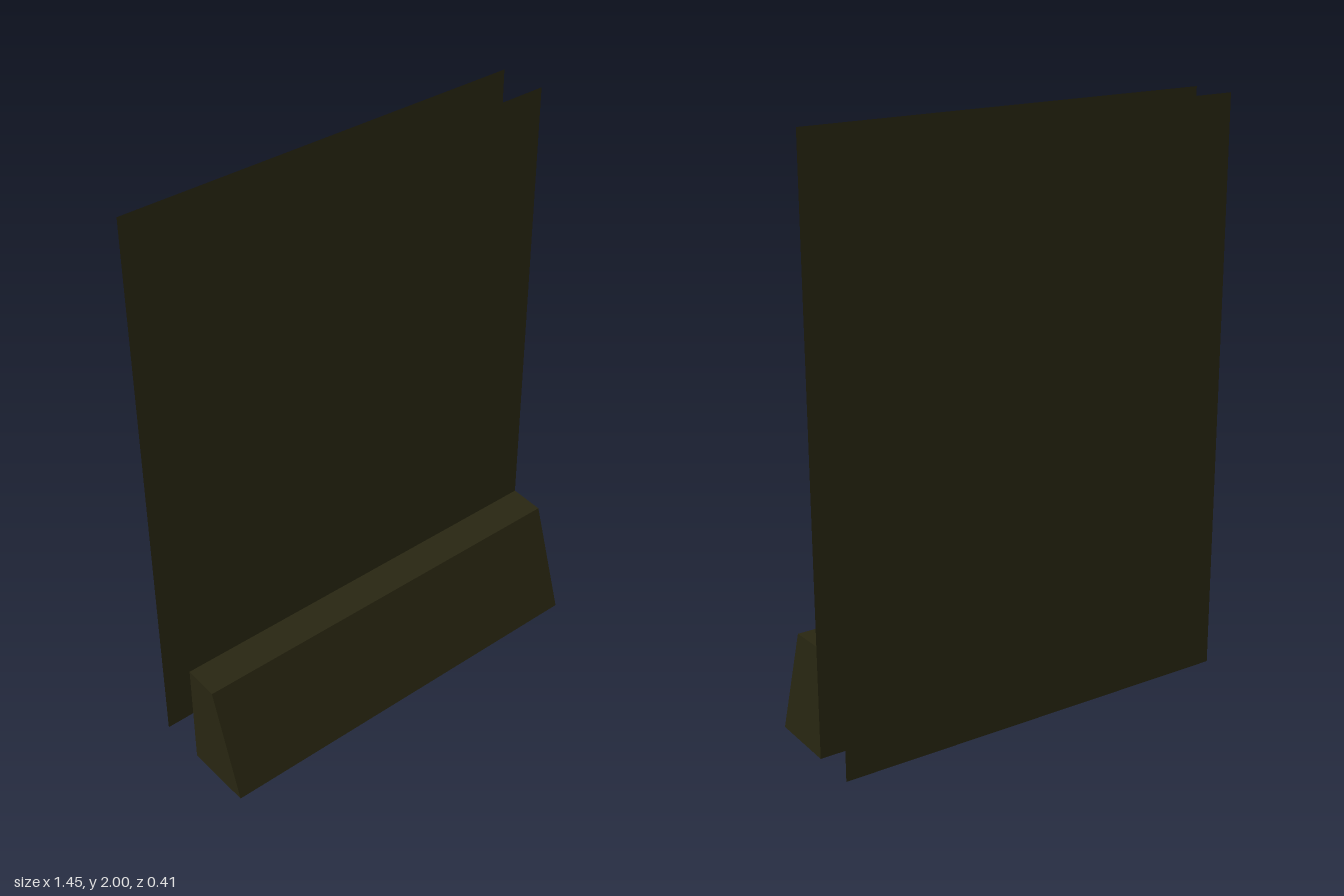
import * as THREE from 'three';

const olive = new THREE.MeshStandardMaterial({ color: 0x282611, side: THREE.DoubleSide });
olive.name = 'dark olive';

const W = 0.727, H = 2; // half width, sheet height
const SHEET_Z = -0.04, BACK_Z = -0.207;

// Flat four-cornered panel, corners counter-clockwise seen from outside
function panel(name, corners) {
  const geometry = new THREE.BufferGeometry();
  geometry.setAttribute('position', new THREE.Float32BufferAttribute(corners.flat(), 3));
  geometry.setIndex([0, 1, 2, 0, 2, 3]);
  geometry.computeVertexNormals();
  const mesh = new THREE.Mesh(geometry, olive);
  mesh.name = name;
  return mesh;
}

// Upright paper-thin sheet
function sheet(name, z) {
  const mesh = new THREE.Mesh(new THREE.PlaneGeometry(2 * W, H), olive);
  mesh.name = name;
  mesh.position.set(0, H / 2, z);
  return mesh;
}

export function createModel() {
  const model = new THREE.Group();
  model.name = 'wallPanel';
  model.add(sheet('frontSheet', SHEET_Z), sheet('backSheet', BACK_Z));

  // Sloped footing, open underneath; profile points are [z, y]
  const profile = [[0.207, 0], [0.083, 0.388], [SHEET_Z, 0.394], [SHEET_Z, 0]];
  const footing = new THREE.Group();
  footing.name = 'footing';
  ['footingSlope', 'footingTop'].forEach((name, i) => {
    const [z0, y0] = profile[i], [z1, y1] = profile[i + 1];
    footing.add(panel(name, [[-W, y0, z0], [W, y0, z0], [W, y1, z1], [-W, y1, z1]]));
  });

  // End caps
  const right = profile.map(([z, y]) => [-W, y, z]);
  const left = profile.map(([z, y]) => [W, y, z]).reverse();
  footing.add(panel('footingRightEnd', right), panel('footingLeftEnd', left));
  model.add(footing);
  return model;
}
